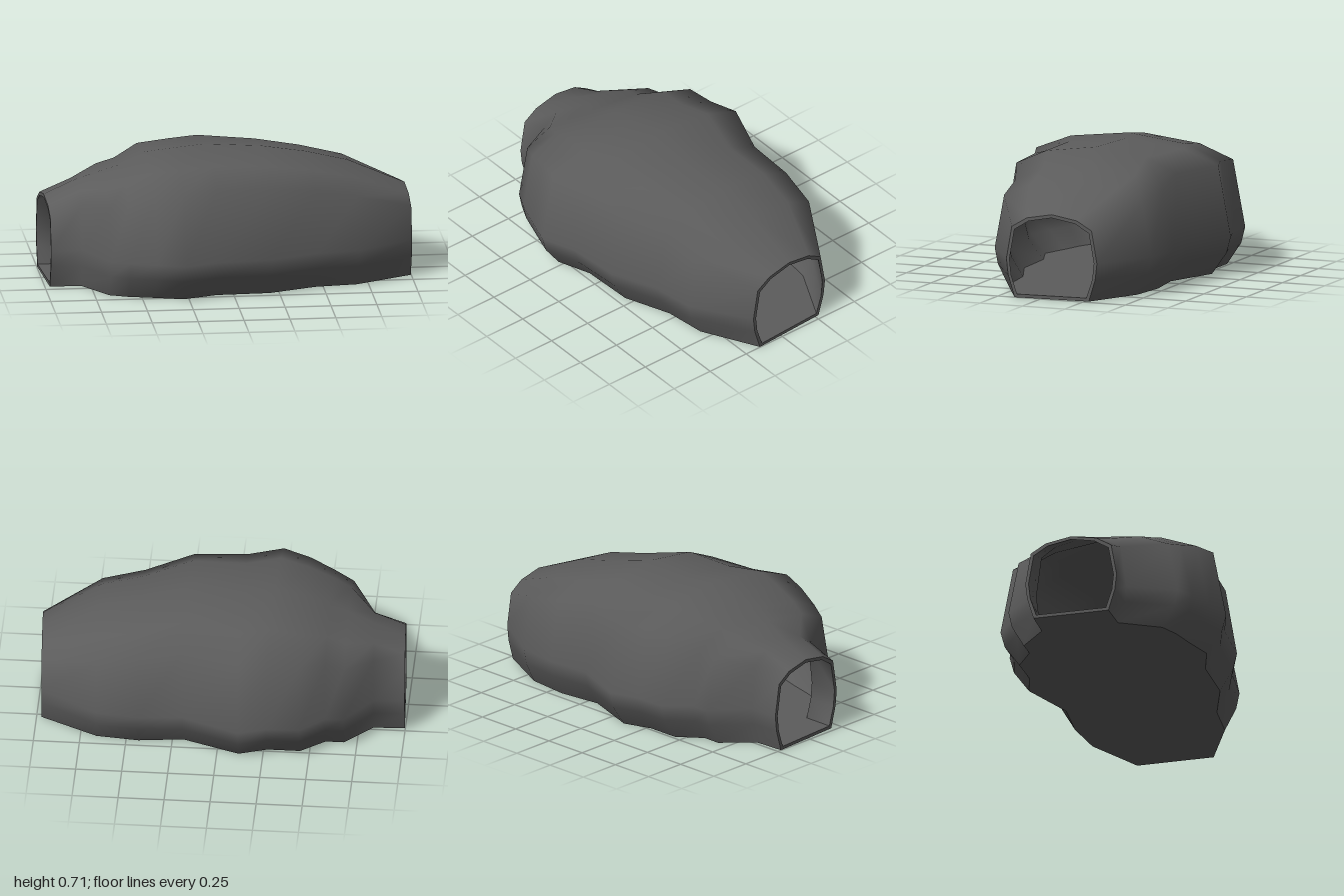
import * as THREE from 'three';

// Stations along the tunnel: back x, back z, front x, front z, roof height
const STATIONS = [
  [-1, -0.27, -0.97, 0.24, 0.465],
  [-0.83, -0.28, -0.8, 0.24, 0.54],
  [-0.68, -0.47, -0.67, 0.49, 0.595],
  [-0.58, -0.475, -0.57, 0.54, 0.63],
  [-0.45, -0.59, -0.43, 0.59, 0.69],
  [-0.27, -0.595, -0.28, 0.64, 0.715],
  [-0.12, -0.645, -0.09, 0.57, 0.715],
  [0.19, -0.52, 0.2, 0.545, 0.71],
  [0.43, -0.54, 0.46, 0.435, 0.655],
  [0.66, -0.51, 0.69, 0.4, 0.6],
  [0.97, -0.32, 1, 0.2, 0.465],
];

// Arch from the back floor edge, over the roof, to the front floor edge
function arch([xb, zb, xf, zf, roof], inset) {
  const h = roof - inset;
  const half = [
    [0.82, inset], [0.96, 0.12], [1, 0.21], [0.88, h * 0.835], [0.55, h * 0.945],
  ];
  const profile = [
    ...half.map(([u, y]) => [-u, y]),
    [0, h],
    ...half.map(([u, y]) => [u, y]).reverse(),
  ];
  const width = (zf - zb) / 2;
  return profile.map(([u, y]) => new THREE.Vector3(
    THREE.MathUtils.lerp(xb, xf, (u + 1) / 2),
    y,
    (zb + zf) / 2 + u * (width - inset),
  ));
}

// Smooth skin across rows of points
function skin(rows, flip = false) {
  const n = rows[0].length;
  const index = [];
  for (let i = 0; i < rows.length - 1; i++) {
    for (let k = 0; k < n - 1; k++) {
      const a = i * n + k, b = a + 1, c = a + n, d = c + 1;
      if (flip) index.push(a, c, b, b, c, d);
      else index.push(a, b, c, b, d, c);
    }
  }
  const geometry = new THREE.BufferGeometry().setFromPoints(rows.flat());
  geometry.setIndex(index);
  geometry.computeVertexNormals();
  return geometry;
}

export function createModel() {
  const group = new THREE.Group();
  group.name = 'caveTunnel';
  const rock = new THREE.MeshStandardMaterial({ color: 0x5c5c5c });
  rock.name = 'dark grey rock';
  const add = (name, geometry) => {
    const mesh = new THREE.Mesh(geometry, rock);
    mesh.name = name;
    group.add(mesh);
  };

  const outer = STATIONS.map((s) => arch(s, 0));
  const inner = STATIONS.map((s) => arch(s, 0.018));
  const floorRow = (row) => [row[row.length - 1], row[0]];
  const closed = (row) => [...row, row[0]];

  // Rock shell and its flat base
  add('outerWall', skin(outer));
  add('base', skin(outer.map(floorRow)));

  // Hollow inside
  add('innerWall', skin(inner, true));
  add('innerFloor', skin(inner.map(floorRow), true));

  // Rims around both mouths
  const last = STATIONS.length - 1;
  add('rightMouthRim', skin([closed(outer[0]), closed(inner[0])], true));
  add('leftMouthRim', skin([closed(outer[last]), closed(inner[last])]));

  return group;
}
